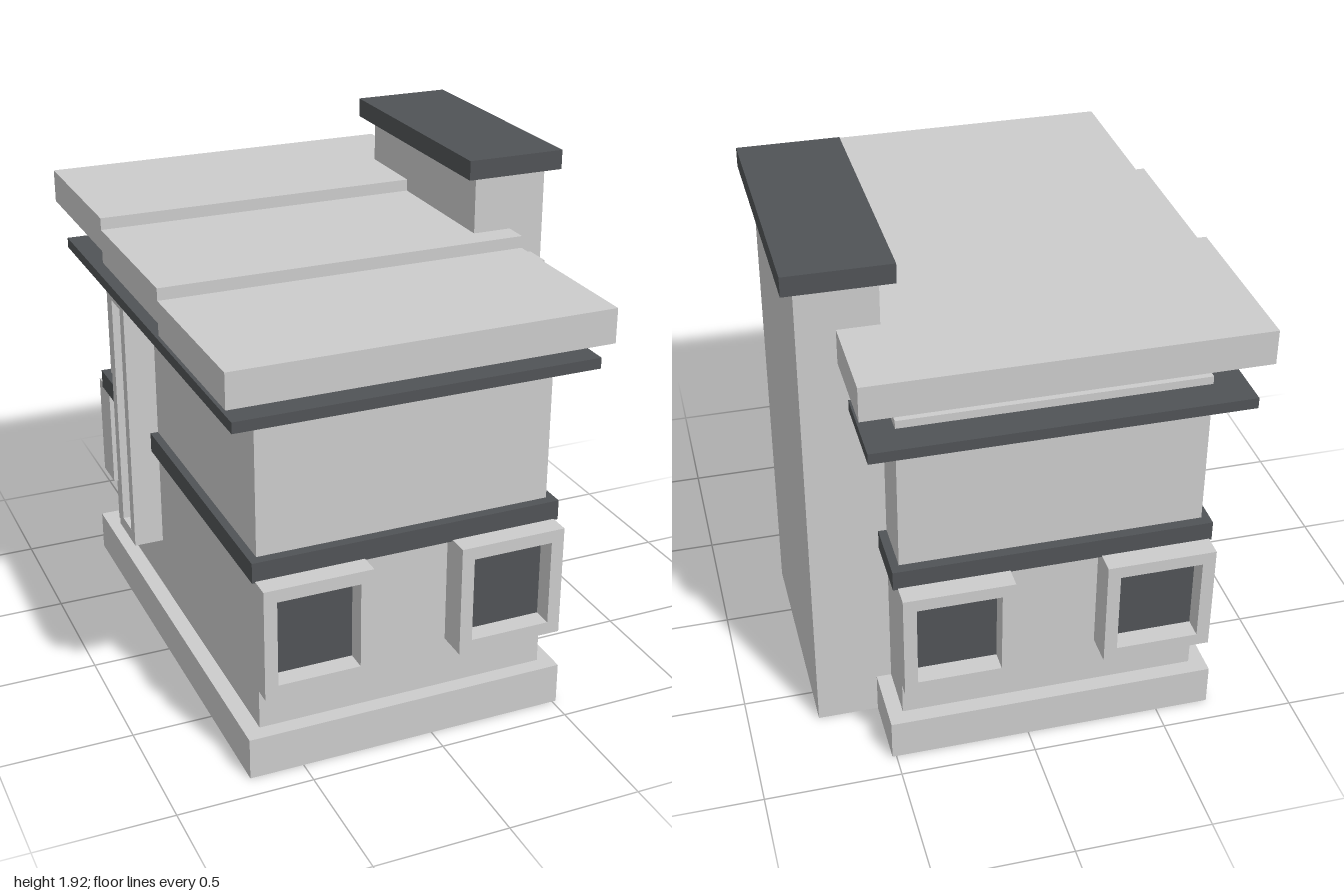
import * as THREE from 'three';

const grey = new THREE.MeshStandardMaterial({ color: 0xcccccc, flatShading: true });
const dark = new THREE.MeshStandardMaterial({ color: 0x505356, flatShading: true });

// Box given by its extents on each axis
function block(name, [x0, x1], [y0, y1], [z0, z1], material = grey) {
  const mesh = new THREE.Mesh(new THREE.BoxGeometry(x1 - x0, y1 - y0, z1 - z0), material);
  mesh.position.set((x0 + x1) / 2, (y0 + y1) / 2, (z0 + z1) / 2);
  mesh.name = name;
  return mesh;
}

// Deep frame around a recessed pane: back at z = 0, facing +z, centred on x and y
function framedWindow(name, width, height, depth, border, recess) {
  const group = new THREE.Group();
  group.name = name;
  const rect = (target, w, h) => target
    .moveTo(-w / 2, -h / 2).lineTo(w / 2, -h / 2).lineTo(w / 2, h / 2).lineTo(-w / 2, h / 2).closePath();
  const paneW = width - 2 * border, paneH = height - 2 * border;
  const shape = new THREE.Shape();
  rect(shape, width, height);
  const hole = new THREE.Path();
  rect(hole, paneW, paneH);
  shape.holes.push(hole);
  const frame = new THREE.Mesh(new THREE.ExtrudeGeometry(shape, { depth, bevelEnabled: false }), grey);
  frame.name = 'windowFrame';
  const pane = block('windowPane', [-paneW / 2, paneW / 2], [-paneH / 2, paneH / 2], [0.005, depth - recess], dark);
  group.add(frame, pane);
  return group;
}

export function createModel() {
  const model = new THREE.Group();
  model.name = 'house';

  // Main volume and its horizontal bands
  model.add(
    block('plinth', [-0.70, 0.515], [0, 0.157], [-0.907, 0.907]),
    block('body', [-0.64, 0.46], [0.157, 1.43], [-0.847, 0.847]),
    block('middleBand', [-0.67, 0.49], [0.76, 0.835], [-0.885, 0.885], dark),
    block('cornice', [-0.757, 0.575], [1.36, 1.4], [-0.967, 0.967], dark),
  );

  // Roof slabs stepping up towards the back
  const slabs = [
    ['frontRoof', 1.46, 1.587, [0.333, 1]],
    ['middleRoof', 1.505, 1.632, [-0.333, 0.335]],
    ['backRoof', 1.55, 1.677, [-1, -0.333]],
  ];
  for (const [name, y0, y1, z] of slabs) model.add(block(name, [-0.787, 0.605], [y0, y1], z));

  // Side tower with cap
  model.add(
    block('tower', [0.458, 0.74], [0, 1.85], [-0.643, 0.24]),
    block('towerCap', [0.41, 0.785], [1.85, 1.922], [-0.692, 0.285], dark),
  );

  // Square windows, two on the front and two on the back
  for (const side of [1, -1]) {
    for (const x of [-0.46, 0.273]) {
      const win = framedWindow(side > 0 ? 'frontWindow' : 'backWindow', 0.4, 0.42, 0.14, 0.048, 0.075);
      win.position.set(x, 0.555, side * 0.823);
      if (side < 0) win.rotation.y = Math.PI;
      model.add(win);
    }
  }

  // Tall slit windows on the tower front and the far side wall
  const towerSlit = framedWindow('towerWindow', 0.2, 1.025, 0.11, 0.048, 0.07);
  towerSlit.position.set(0.597, 1.018, 0.237);
  const sideSlit = framedWindow('sideWindow', 0.2, 1.025, 0.118, 0.048, 0.07);
  sideSlit.position.set(-0.635, 0.875, -0.315);
  sideSlit.rotation.y = -Math.PI / 2;
  model.add(towerSlit, sideSlit);

  return model;
}
